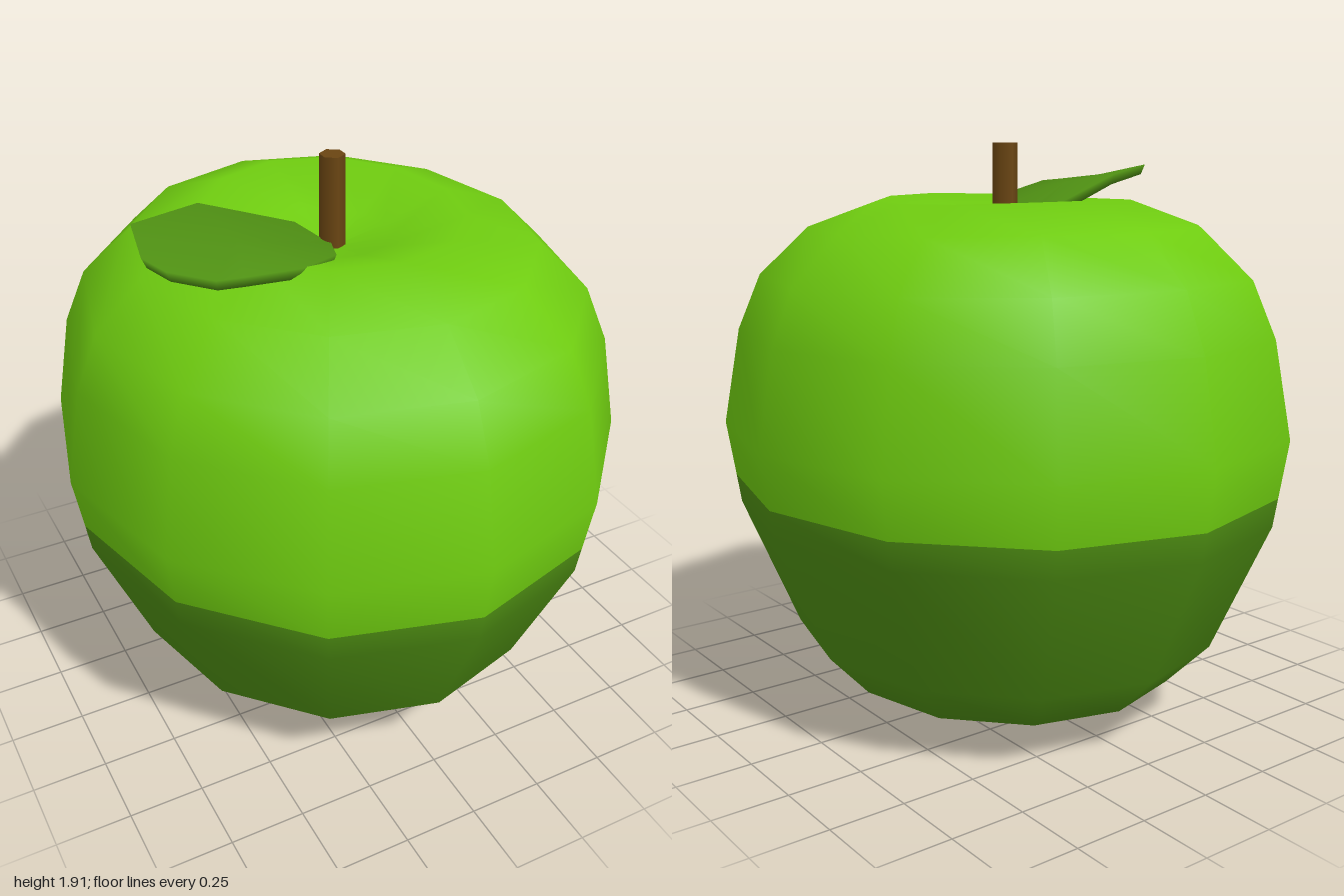
import * as THREE from 'three';

const paint = (name, color) => {
  const m = new THREE.MeshStandardMaterial({ color });
  m.name = name;
  return m;
};

// Twelve-sided body: lower band dark, upper band light
function makeBody(light, dark) {
  const profile = [
    [0, 0.005], [0.21, 0.02], [0.43, 0.057], [0.61, 0.132], [0.76, 0.283], [0.955, 0.72],
    [0.97, 0.815], [1.0, 1.01], [0.94, 1.325], [0.86, 1.505], [0.69, 1.66], [0.445, 1.745],
    [0.2, 1.665], [0, 1.61],
  ].map(([r, y]) => new THREE.Vector2(r, y));
  const sides = 12, split = 6, steps = profile.length - 1;
  const geo = new THREE.LatheGeometry(profile, sides);
  // The shoulders sit slightly lower at the left and right
  const pos = geo.attributes.position;
  for (let i = 0; i < pos.count; i++) {
    const x = pos.getX(i), y = pos.getY(i), z = pos.getZ(i);
    const r2 = x * x + z * z;
    if (y > 0.9 && r2 > 0.01) pos.setY(i, y - 0.015 * x * x / r2);
  }
  geo.scale(0.93, 1, 1);
  for (let s = 0; s < sides; s++) {
    geo.addGroup(s * steps * 6, split * 6, 0);
    geo.addGroup((s * steps + split) * 6, (steps - split) * 6, 1);
  }
  return new THREE.Mesh(geo, [dark, light]);
}

// Closed, slightly thick leaf built from one outline
function makeLeaf(material) {
  const outline = [
    [-0.02, 1.64, 0.03], [-0.095, 1.69, 0.21], [-0.275, 1.745, 0.35], [-0.48, 1.785, 0.4],
    [-0.56, 1.79, 0.395], [-0.67, 1.805, 0.31], [-0.71, 1.82, 0.225], [-0.675, 1.845, 0.05],
    [-0.42, 1.815, -0.07], [-0.1, 1.69, -0.065], [-0.03, 1.64, -0.01],
  ];
  const n = outline.length, cx = -0.4, cz = 0.17;
  const verts = [];
  for (const [x, y, z] of outline) verts.push(x, y, z);
  for (const [x, y, z] of outline) {
    verts.push(cx + (x - cx) * 0.95, y - 0.035, cz + (z - cz) * 0.95);
  }
  verts.push(cx, 1.785, cz, cx, 1.73, cz);
  const index = [];
  for (let i = 0; i < n; i++) {
    const j = (i + 1) % n;
    index.push(2 * n, j, i);                      // upper face
    index.push(2 * n + 1, n + i, n + j);          // lower face
    index.push(i, j, n + i, j, n + j, n + i);     // edge
  }
  const geo = new THREE.BufferGeometry();
  geo.setAttribute('position', new THREE.Float32BufferAttribute(verts, 3));
  geo.setIndex(index);
  geo.computeVertexNormals();
  return new THREE.Mesh(geo, material);
}

export function createModel() {
  const light = paint('light green', 0x6fcc10);
  const dark = paint('dark green', 0x4f9013);
  const brown = paint('stem brown', 0x6a4512);
  const model = new THREE.Group();
  model.name = 'apple';

  const body = makeBody(light, dark);
  body.name = 'body';

  const stem = new THREE.Mesh(new THREE.CylinderGeometry(0.041, 0.043, 0.34, 6), brown);
  stem.name = 'stem';
  stem.position.y = 1.75;

  const leaf = makeLeaf(dark);
  leaf.name = 'leaf';

  model.add(body, stem, leaf);
  return model;
}
